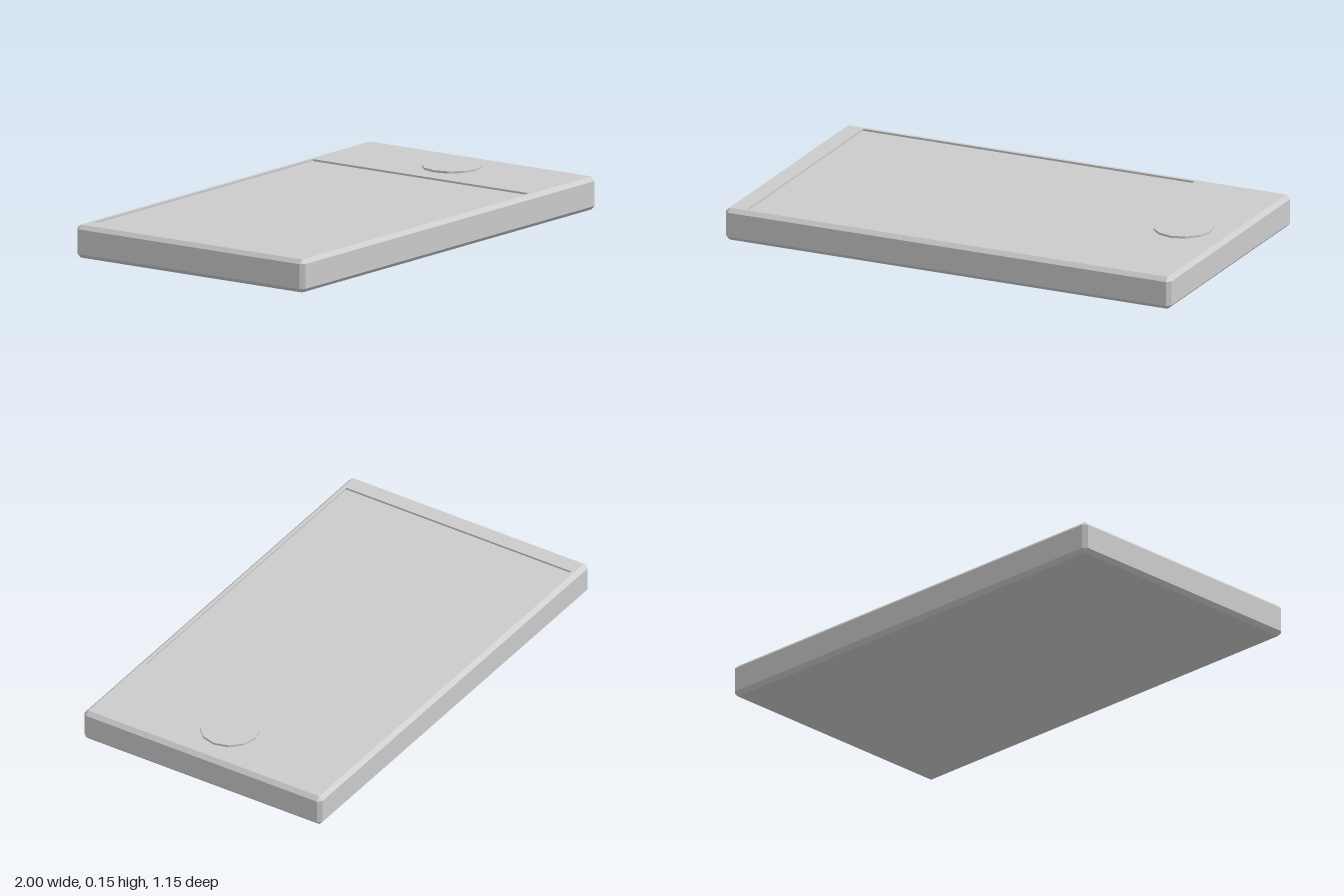
import * as THREE from 'three';

const W = 1, D = 0.575, H = 0.137, B = 0.017;            // half width, half depth, height, chamfer
const SCREEN = { cx: -0.167, hx: 0.743, hz: 0.543, y: H - 0.008 };

const material = () => new THREE.MeshStandardMaterial({ color: 0xcccccc, flatShading: true });

// Rectangle with optionally cut corners, counter-clockwise seen from above
function ring(y, hx, hz, cut = 0, cx = 0) {
  const points = [];
  for (const [sx, sz] of [[1, 1], [1, -1], [-1, -1], [-1, 1]]) {
    const pair = [
      new THREE.Vector3(cx + sx * (hx - cut), y, sz * hz),
      new THREE.Vector3(cx + sx * hx, y, sz * (hz - cut)),
    ];
    points.push(...(sx * sz > 0 ? pair : pair.reverse()));
  }
  return points;
}

// Joins successive rings with flat faces, leaving out empty triangles
function loft(rings) {
  const vertices = [];
  const face = (a, b, c) => {
    if (new THREE.Triangle(a, b, c).getArea() > 1e-9) vertices.push(a, b, c);
  };
  for (let r = 0; r < rings.length - 1; r++) {
    const low = rings[r], high = rings[r + 1];
    for (let i = 0; i < low.length; i++) {
      const j = (i + 1) % low.length;
      face(low[i], low[j], high[j]);
      face(low[i], high[j], high[i]);
    }
  }
  const geometry = new THREE.BufferGeometry().setFromPoints(vertices);
  geometry.computeVertexNormals();
  return geometry;
}

export function createModel() {
  const model = new THREE.Group();
  model.name = 'handheldDevice';

  const add = (name, geometry) => {
    const mesh = new THREE.Mesh(geometry, material());
    mesh.name = name;
    model.add(mesh);
    return mesh;
  };

  // Chamfered slab: underside, sides, top rim and the walls of the screen recess
  add('body', loft([
    ring(0, 0, 0),
    ring(0, W - B, D - B),
    ring(B, W, D, B),
    ring(H - B, W, D, B),
    ring(H, W - B, D - B),
    ring(H, SCREEN.hx, SCREEN.hz, 0, SCREEN.cx),
    ring(SCREEN.y, SCREEN.hx, SCREEN.hz, 0, SCREEN.cx),
  ]));

  // Sunken screen
  const screen = add('screen', new THREE.PlaneGeometry(SCREEN.hx * 2, SCREEN.hz * 2).rotateX(-Math.PI / 2));
  screen.position.set(SCREEN.cx, SCREEN.y, 0);

  // Twelve-sided raised button
  const button = add('homeButton', new THREE.CylinderGeometry(0.122, 0.122, 0.018, 12));
  button.position.set(0.787, H, 0);

  return model;
}
